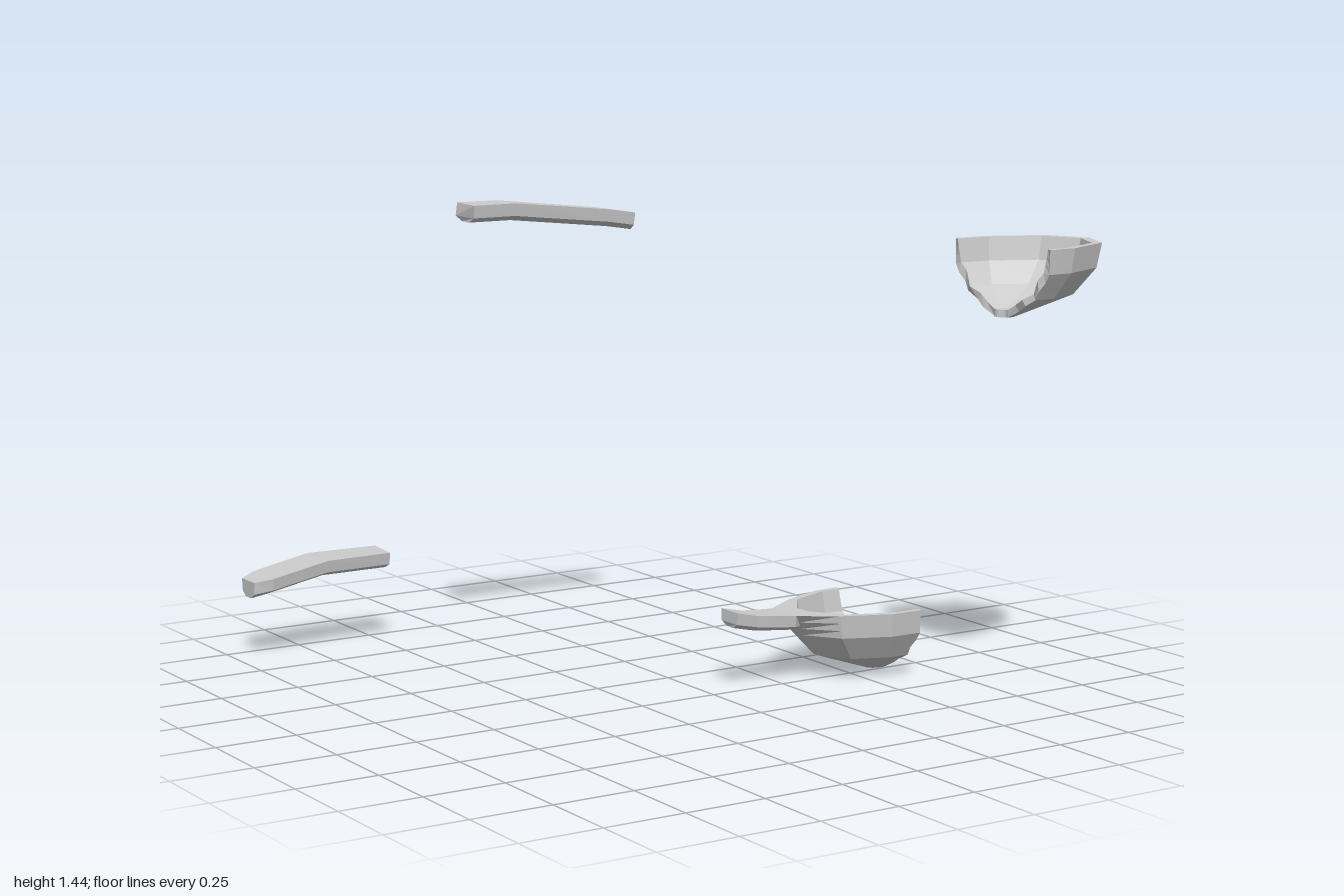
import * as THREE from 'three';

const material = new THREE.MeshStandardMaterial({ color: 0xcccccc, flatShading: true, side: THREE.DoubleSide });

// Closed solid through equal-length loops; end caps pair point i with point n-1-i.
function loft(name, loops) {
  const tris = [];
  const quad = (a, b, c, d) => tris.push([a, b, c], [a, c, d]);
  const n = loops[0].length;
  for (let k = 0; k < loops.length - 1; k++) {
    for (let i = 0; i < n; i++) {
      const j = (i + 1) % n;
      quad(loops[k][i], loops[k][j], loops[k + 1][j], loops[k + 1][i]);
    }
  }
  const first = loops[0], last = loops[loops.length - 1];
  for (let i = 0; i < n / 2 - 1; i++) {
    quad(first[i], first[n - 1 - i], first[n - 2 - i], first[i + 1]);
    quad(last[i], last[i + 1], last[n - 2 - i], last[n - 1 - i]);
  }
  // Turn every face outward, judged by the signed volume
  let volume = 0;
  for (const [a, b, c] of tris) volume += a.dot(b.clone().cross(c));
  const points = [];
  for (const [a, b, c] of tris) {
    const area = b.clone().sub(a).cross(c.clone().sub(a)).length();
    if (area > 1e-9) points.push(...(volume < 0 ? [a, c, b] : [a, b, c]));
  }
  const geometry = new THREE.BufferGeometry().setFromPoints(points);
  geometry.computeVertexNormals();
  const mesh = new THREE.Mesh(geometry, material);
  mesh.name = name;
  return mesh;
}

// Handle piece: stations are [x, top y, half width, optional jaggedness of a broken end]
function handle(name, stations, thickness = 0.053) {
  const section = [[1, 0], [0.9, 0.72], [0.42, 1], [-0.42, 1], [-0.9, 0.72], [-1, 0]];
  return loft(name, stations.map(([x, y, w, jag = 0]) => section.map(([sz, sy]) =>
    new THREE.Vector3(x + jag * Math.sin(sz * w * 70 + sy * 2), y - sy * thickness, sz * w))));
}

// Bowl levels [scale, y], outside from the bottom to the rim, then inside back down
const CX = 0.626;
const levels = [
  [0, 0.003], [0.14, 0.005], [0.72, 0.067], [0.95, 0.143], [1, 0.215],
  [0.9, 0.215], [0.85, 0.146], [0.63, 0.082], [0.12, 0.026], [0, 0.025],
];
// Ragged line along which the bowl snapped in two
const breakX = (z) => CX + 0.06 * z + 0.007 * Math.sin(z * 110);

// Half bowl: rim points [x, z, optional outer rim override] run from one break to the other
function halfBowl(name, rim) {
  const columns = rim.map(([px, pz, outer], k) => {
    const keys = levels.map(([s, y]) => (outer && s === 1)
      ? new THREE.Vector3(outer[0], y, outer[1])
      : new THREE.Vector3(CX + (px - CX) * s, y, pz * s));
    const column = [];
    keys.forEach((p, i) => {
      column.push(p);
      if (i < keys.length - 1) {
        for (const t of [1 / 3, 2 / 3]) column.push(p.clone().lerp(keys[i + 1], t));
      }
    });
    if (k === 0 || k === rim.length - 1) column.forEach((p) => { p.x = breakX(p.z); });
    return column;
  });
  return loft(name, columns);
}

export function createModel() {
  const model = new THREE.Group();
  model.name = 'brokenSpoon';

  // Rounded end of the handle
  const handleEnd = handle('handleEnd', [
    [-0.955, 0.248, 0.045], [-0.9, 0.26, 0.072], [-0.715, 0.296, 0.073], [-0.485, 0.296, 0.064, 0.007],
  ]);
  handleEnd.position.z = -0.927;

  // Middle of the handle
  const handleMiddle = handle('handleMiddle', [
    [-0.487, 1.441, 0.063, 0.006], [-0.35, 1.441, 0.06], [-0.01, 1.404, 0.047], [0.08, 1.39, 0.045, 0.003],
  ]);
  handleMiddle.position.z = -0.355;

  // Neck joined to the rear half of the bowl
  const rearPiece = new THREE.Group();
  rearPiece.name = 'neckAndRearBowl';
  rearPiece.add(
    handle('neck', [
      [0.078, 0.243, 0.045, 0.003], [0.15, 0.227, 0.045], [0.205, 0.221, 0.052],
      [0.276, 0.215, 0.064], [0.32, 0.211, 0.04],
    ], 0.049),
    halfBowl('rearBowl', [
      [CX, -0.202], [0.535, -0.2], [0.385, -0.138], [0.31, -0.03, [0.275, -0.065]],
      [0.31, 0.03, [0.275, 0.065]], [0.385, 0.138], [0.535, 0.2], [CX, 0.202],
    ]),
  );
  rearPiece.position.z = 0.22;

  // Tip half of the bowl
  const frontBowl = halfBowl('frontBowl', [
    [CX, -0.204], [0.73, -0.2], [0.89, -0.127], [0.95, 0], [0.89, 0.127], [0.73, 0.2], [CX, 0.204],
  ]);
  frontBowl.position.set(0, 1.146, 0.796);

  model.add(handleEnd, handleMiddle, rearPiece, frontBowl);
  return model;
}
